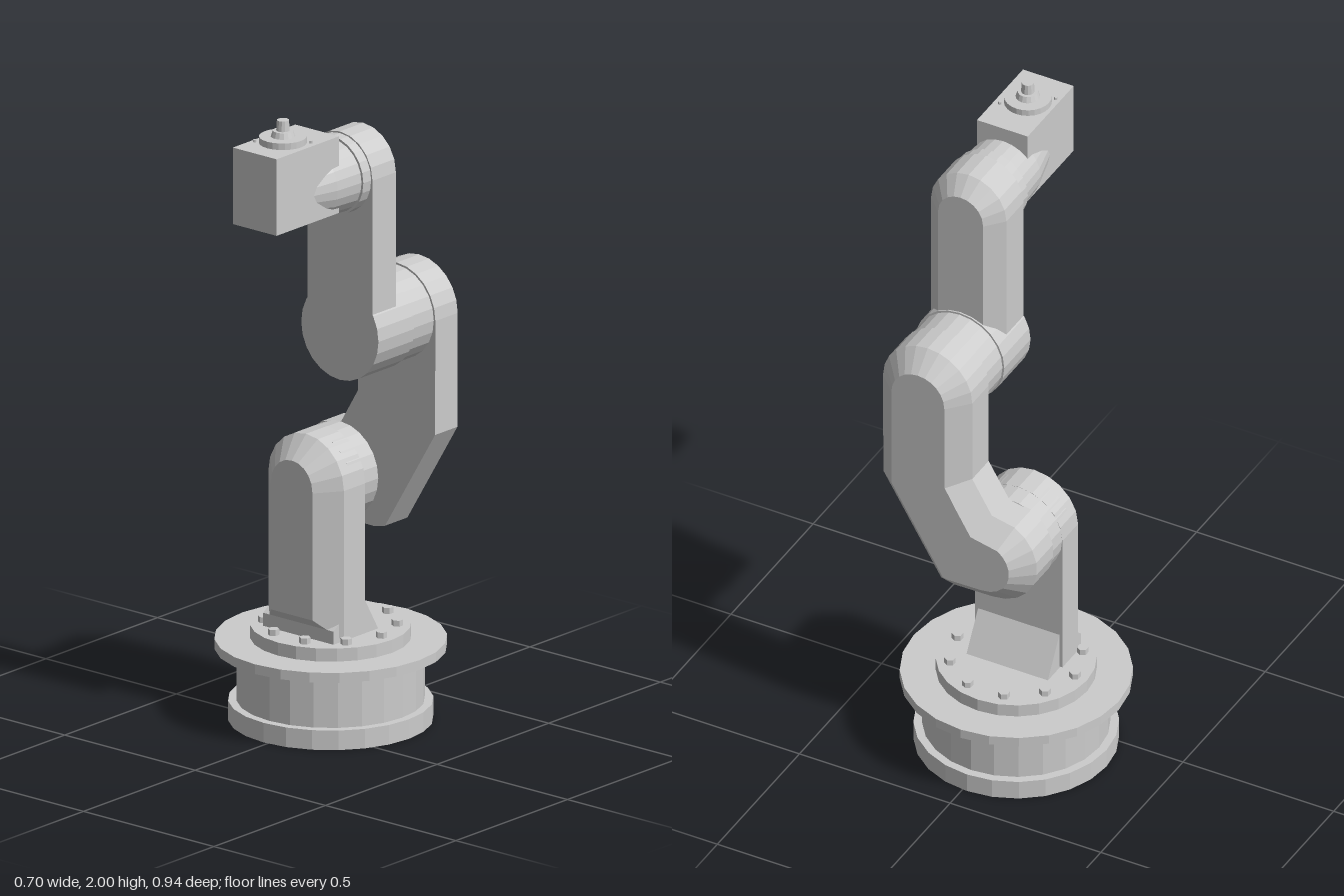
import * as THREE from 'three';

const mat = new THREE.MeshStandardMaterial({ color: 0xcccccc, flatShading: true });

function add(parent, name, geo, x = 0, y = 0, z = 0) {
  const mesh = new THREE.Mesh(geo, mat);
  mesh.name = name;
  mesh.position.set(x, y, z);
  parent.add(mesh);
  return mesh;
}

// Upright cylinder or cone between two heights
function upright(parent, name, x, z, y0, y1, r0, r1 = r0, sides = 24) {
  return add(parent, name, new THREE.CylinderGeometry(r1, r0, y1 - y0, sides), x, (y0 + y1) / 2, z);
}

// Cylinder or cone lying along z
function axial(parent, name, x, y, z0, z1, r0, r1 = r0, sides = 24) {
  const geo = new THREE.CylinderGeometry(r1, r0, z1 - z0, sides).rotateX(Math.PI / 2);
  return add(parent, name, geo, x, y, (z0 + z1) / 2);
}

// Points on an arc, counter-clockwise, angles in degrees
function arc(cx, cy, r, a0, a1, n) {
  return Array.from({ length: n + 1 }, (_, i) => {
    const a = THREE.MathUtils.degToRad(a0 + (a1 - a0) * i / n);
    return new THREE.Vector2(cx + r * Math.cos(a), cy + r * Math.sin(a));
  });
}

// Mitred inward offset of a counter-clockwise outline
function inset(points, d) {
  if (!d) return points;
  const n = points.length;
  const normal = (a, b) => new THREE.Vector2(a.y - b.y, b.x - a.x).normalize();
  return points.map((p, i) => {
    const n0 = normal(points[(i + n - 1) % n], p);
    const n1 = normal(p, points[(i + 1) % n]);
    const m = n0.clone().add(n1);
    return p.clone().addScaledVector(m, d / (1 + n0.dot(n1)));
  });
}

// Solid through copies of an outline; levels are [z, inset] with z rising
function chamferedSlab(outline, levels) {
  const n = outline.length, pos = [], idx = [];
  for (const [z, d] of levels) {
    for (const p of inset(outline, d)) pos.push(p.x, p.y, z);
  }
  for (let k = 0; k < levels.length - 1; k++) {
    for (let i = 0; i < n; i++) {
      const a = k * n + i, b = k * n + (i + 1) % n;
      idx.push(a, b, b + n, a, b + n, a + n);
    }
  }
  const last = (levels.length - 1) * n;
  for (const [a, b, c] of THREE.ShapeUtils.triangulateShape(outline, [])) {
    idx.push(a, c, b, last + a, last + b, last + c);
  }
  const geo = new THREE.BufferGeometry();
  geo.setAttribute('position', new THREE.Float32BufferAttribute(pos, 3));
  geo.setIndex(idx);
  geo.computeVertexNormals();
  return geo;
}

export function createModel() {
  const model = new THREE.Group();
  model.name = 'robotArm';
  const v = (x, y) => new THREE.Vector2(x, y);
  const bx = -0.015, bz = -0.125;

  // Round pedestal
  const base = new THREE.Group();
  base.name = 'base';
  model.add(base);
  upright(base, 'foot', bx, bz, 0, 0.06, 0.3);
  upright(base, 'pedestal', bx, bz, 0.06, 0.22, 0.275);
  upright(base, 'flange', bx, bz, 0.22, 0.25, 0.34);
  upright(base, 'turntable', bx, bz, 0.25, 0.29, 0.235);
  for (let i = 0; i < 10; i++) {
    const a = (i + 0.5) / 10 * Math.PI * 2;
    upright(base, 'bolt', bx + 0.195 * Math.sin(a), bz + 0.195 * Math.cos(a), 0.29, 0.308, 0.017, 0.017, 6);
  }

  // Shoulder upright with a chamfered front and a flared heel
  const shoulder = new THREE.Group();
  shoulder.name = 'shoulder';
  model.add(shoulder);
  const sy = 0.755;
  const post = [v(bx - 0.145, 0.295), v(bx + 0.145, 0.295), ...arc(bx, sy, 0.145, 0, 180, 10)];
  add(shoulder, 'shoulderPost', chamferedSlab(post, [[-0.11, 0], [-0.015, 0], [0.05, 0.065]]));
  const heel = new THREE.Shape([v(0.02, 0.285), v(0.02, 0.33), v(-0.1, 0.41), v(-0.11, 0.41), v(-0.18, 0.29), v(-0.18, 0.285)]);
  const heelGeo = new THREE.ExtrudeGeometry(heel, { depth: 0.27, bevelEnabled: false });
  heelGeo.rotateY(-Math.PI / 2);
  add(shoulder, 'shoulderHeel', heelGeo, bx + 0.135);
  axial(shoulder, 'shoulderJoint', bx, sy, -0.175, -0.05, 0.144);

  // Bent lower arm with a chamfered back
  const ax = 0.2, ey = 1.285;
  const lowerArm = [
    v(0.11, 0.605), v(0.155, 0.615), v(0.347, 0.935),
    ...arc(ax, ey, 0.148, 0, 180, 12),
    v(0.052, 1.01), v(-0.013, 0.9),
    ...arc(bx, sy, 0.148, 120, 270, 9),
  ];
  add(model, 'lowerArm', chamferedSlab(lowerArm, [[-0.33, 0.06], [-0.27, 0], [-0.17, 0]]));

  // Elbow and upper arm
  const upper = new THREE.Group();
  upper.name = 'upperArm';
  model.add(upper);
  axial(upper, 'elbowJoint', ax, ey, -0.18, -0.06, 0.142);
  axial(upper, 'elbowHousing', ax, ey, -0.075, 0.085, 0.148);
  const wy = 1.775;
  const forearm = [v(ax - 0.125, 1.3), v(ax + 0.125, 1.3), ...arc(ax, wy, 0.125, 0, 180, 10)];
  add(upper, 'forearm', chamferedSlab(forearm, [[-0.07, 0.05], [-0.02, 0], [0.085, 0]]));

  // Wrist, head block and tool mount
  const wrist = new THREE.Group();
  wrist.name = 'wrist';
  model.add(wrist);
  axial(wrist, 'wristCollar', ax, wy, 0.075, 0.12, 0.12);
  axial(wrist, 'wristBarrel', ax, wy, 0.12, 0.22, 0.113, 0.108);
  axial(wrist, 'wristTaper', ax, wy, 0.22, 0.33, 0.108, 0.08);
  add(wrist, 'headBlock', new THREE.BoxGeometry(0.168, 0.235, 0.28), 0.203, 1.8125, 0.33);
  const tz = 0.34;
  upright(wrist, 'toolFlange', ax, tz, 1.93, 1.95, 0.07);
  upright(wrist, 'toolCollar', ax, tz, 1.95, 1.968, 0.036, 0.03, 16);
  upright(wrist, 'toolTip', ax, tz, 1.968, 2.0, 0.02, 0.018, 12);
  for (const s of [-1, 1]) {
    upright(wrist, 'headPin', ax + s * 0.066, tz - s * 0.049, 1.93, 1.938, 0.005, 0.005, 6);
  }

  return model;
}
